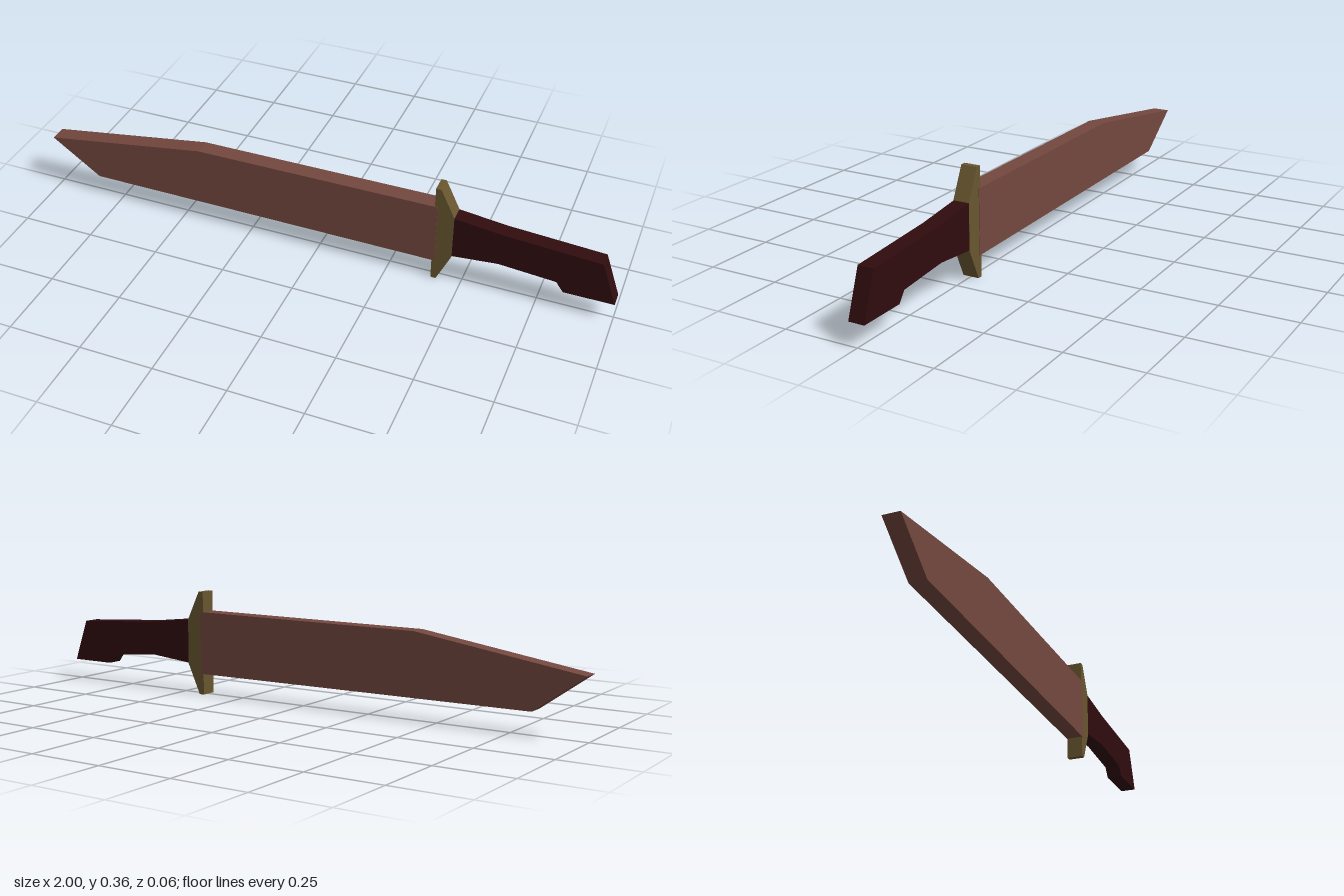
import * as THREE from 'three';

const material = (name, color) => {
  const m = new THREE.MeshStandardMaterial({ color });
  m.name = name;
  return m;
};

// Flat part cut from a side outline, centred on z = 0
function plate(name, points, thickness, mat) {
  const shape = new THREE.Shape(points.map(([x, y]) => new THREE.Vector2(x, y)));
  const geometry = new THREE.ExtrudeGeometry(shape, { depth: thickness, bevelEnabled: false });
  geometry.translate(0, 0, -thickness / 2);
  const mesh = new THREE.Mesh(geometry, mat);
  mesh.name = name;
  return mesh;
}

export function createModel() {
  const group = new THREE.Group();
  group.name = 'knife';

  const bladeColor = material('reddish brown blade', 0x74483f);
  const guardColor = material('dull brass', 0x68562f);
  const gripColor = material('dark maroon grip', 0x300c0e);

  // Blade with clipped back and angled tip
  group.add(plate('blade', [
    [-1, 0.2], [-0.83, 0.078], [-0.29, 0.076], [0.41, 0.073],
    [0.41, 0.29], [-0.43, 0.288],
  ], 0.058, bladeColor));

  // Cross guard, tapering toward the grip
  group.add(plate('guard', [
    [0.4, 0], [0.418, 0], [0.466, 0.105], [0.466, 0.26], [0.418, 0.36], [0.4, 0.36],
  ], 0.055, guardColor));

  // Grip with a hooked pommel
  group.add(plate('grip', [
    [0.46, 0.107], [0.62, 0.122], [0.81, 0.107], [0.835, 0.073], [1, 0.073],
    [0.947, 0.22], [0.63, 0.24], [0.46, 0.26],
  ], 0.054, gripColor));

  return group;
}
